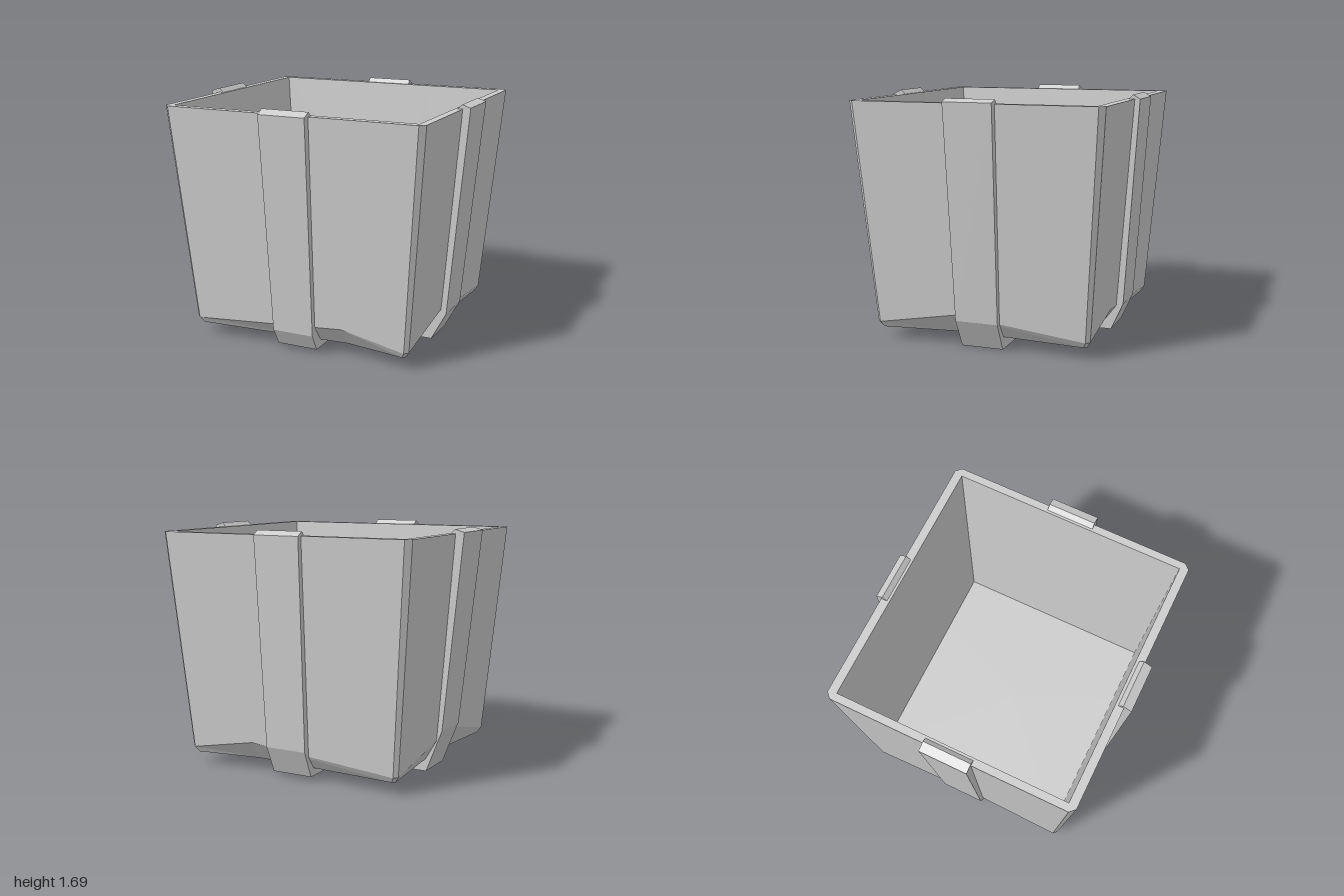
import * as THREE from 'three';

const grey = new THREE.MeshStandardMaterial({ color: 0xcccccc, flatShading: true });
grey.name = 'plain grey';

const CX = 0.003, CZ = -0.01; // bin centre

// Raised point in the lower edge of each side: position along the side and height (+x, +z, -x, -z)
const peaks = [[0.16, 0.23], [0.34, 0.22], [0.1, 0.27], [0.29, 0.22]];

// Rectangle with clipped corners and one middle point per side
function ring(y, hx, hz, clip, inset = 0, raised = false) {
  const points = [];
  for (let k = 0; k < 4; k++) {
    const alongZ = k % 2 === 0;
    const out = alongZ ? hx : hz, half = (alongZ ? hz : hx) - clip;
    const sign = k < 2 ? 1 : -1;
    const dir = k === 0 || k === 3 ? 1 : -1;
    const [mid, peakY] = peaks[k];
    const midY = raised ? peakY : y;
    const midOut = out - inset + (midY - y) * (alongZ ? 0.085 : 0.075);
    for (const [along, o, h] of [[-dir * half, out, y], [mid, midOut, midY], [dir * half, out, y]]) {
      points.push(alongZ
        ? new THREE.Vector3(CX + sign * o, h, CZ + along)
        : new THREE.Vector3(CX + along, h, CZ + sign * o));
    }
  }
  return points;
}

function loft(rings) {
  const positions = [];
  const triangle = (a, b, c) => {
    if (new THREE.Triangle(a, b, c).getArea() < 1e-7) return;
    for (const p of [a, b, c]) positions.push(p.x, p.y, p.z);
  };
  for (let r = 0; r + 1 < rings.length; r++) {
    const a = rings[r], b = rings[r + 1];
    for (let i = 0; i < a.length; i++) {
      const j = (i + 1) % a.length;
      triangle(a[i], b[i], b[j]);
      triangle(a[i], b[j], a[j]);
    }
  }
  const geometry = new THREE.BufferGeometry();
  geometry.setAttribute('position', new THREE.Float32BufferAttribute(positions, 3));
  geometry.computeVertexNormals();
  return geometry;
}

const centre = (y) => Array.from({ length: 12 }, () => new THREE.Vector3(CX, y, CZ));

// U-shaped band in the xy plane, slightly narrower towards the bottom
function strap(outline, middle) {
  const shape = new THREE.Shape(outline.map(([x, y]) => new THREE.Vector2(x, y)));
  const geometry = new THREE.ExtrudeGeometry(shape, { depth: 1, bevelEnabled: false });
  const pos = geometry.attributes.position;
  for (let i = 0; i < pos.count; i++) {
    const width = 0.295 + 0.042 * pos.getY(i) / 1.66;
    pos.setZ(i, middle + (pos.getZ(i) - 0.5) * width);
  }
  geometry.computeVertexNormals();
  return geometry;
}

export function createModel() {
  const group = new THREE.Group();
  const add = (name, geometry) => {
    const mesh = new THREE.Mesh(geometry, grey);
    mesh.name = name;
    group.add(mesh);
  };

  // Tapered open bin: underside, chamfered lower edge, walls, rim, inside and floor
  add('bin', loft([
    centre(0.085),
    ring(0.085, 0.785, 0.74, 0.02, 0.07),
    ring(0.125, 0.812, 0.765, 0.026, 0, true),
    ring(1.66, 0.942, 0.88, 0.037),
    ring(1.66, 0.888, 0.82, 0),
    ring(0.27, 0.765, 0.72, 0),
    centre(0.27),
  ]));

  // Band running under the bin from left to right
  add('sideStrap', strap([
    [-0.74, 0], [0.755, 0], [0.862, 0.2], [1.0, 1.67], [0.94, 1.69], [0.903, 1.655],
    [0.79, 0.25], [0.67, 0.13], [-0.67, 0.13], [-0.785, 0.25],
    [-0.897, 1.655], [-0.935, 1.69], [-1.0, 1.67], [-0.857, 0.3],
  ], -0.009));

  // Band running under the bin from front to back, a little higher
  const frontBack = strap([
    [-0.745, 0.03], [0.73, 0.03], [0.798, 0.15], [0.923, 1.66], [0.862, 1.69], [0.825, 1.655],
    [0.73, 0.25], [0.63, 0.13], [-0.63, 0.13], [-0.75, 0.25],
    [-0.842, 1.655], [-0.878, 1.69], [-0.927, 1.66], [-0.83, 0.22],
  ], 0.007);
  frontBack.rotateY(-Math.PI / 2);
  add('frontBackStrap', frontBack);

  return group;
}
